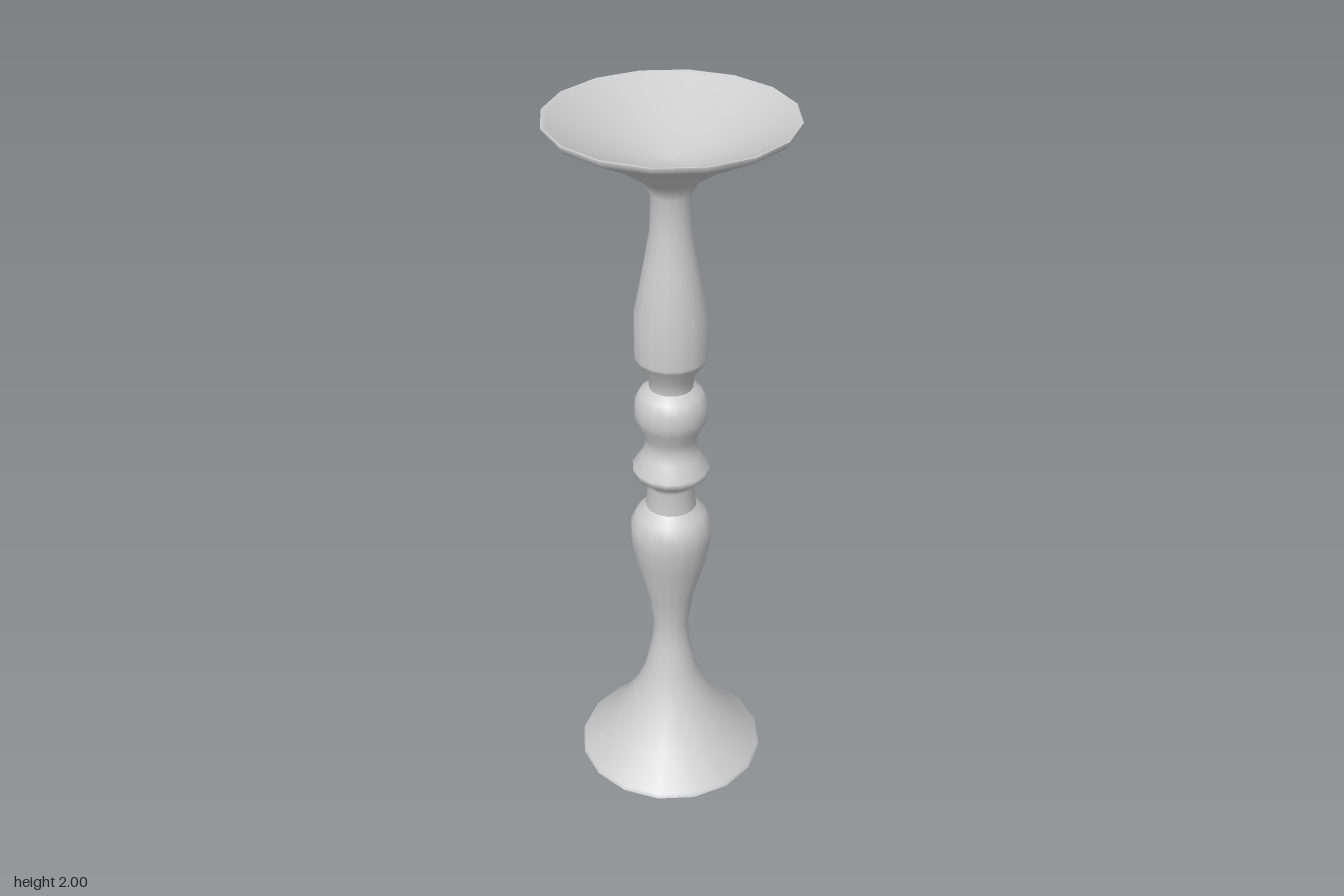
import * as THREE from 'three';

const SIDES = 16;

// Surface of revolution from [radius, height] pairs
function turned(name, profile, material) {
  const points = profile.map(([r, y]) => new THREE.Vector2(r, y));
  const mesh = new THREE.Mesh(new THREE.LatheGeometry(points, SIDES), material);
  mesh.name = name;
  return mesh;
}

export function createModel() {
  const group = new THREE.Group();
  group.name = 'candlestick';
  const grey = new THREE.MeshStandardMaterial({ color: 0xcccccc });
  grey.name = 'light grey';

  // Flat underside
  group.add(turned('underside', [[0, 0], [0.27, 0]], grey));

  // Flared foot rising into the lower vase
  group.add(turned('foot', [
    [0.27, 0], [0.265, 0.012], [0.185, 0.09], [0.112, 0.2], [0.075, 0.29],
    [0.055, 0.39], [0.05, 0.46], [0.065, 0.56], [0.098, 0.68],
    [0.113, 0.76], [0.113, 0.81], [0.097, 0.845], [0.07, 0.872],
  ], grey));

  // Ring and bead in the middle of the stem
  group.add(turned('stemBeads', [
    [0.07, 0.872], [0.065, 0.94], [0.075, 0.96], [0.103, 0.98], [0.106, 1.0],
    [0.078, 1.04], [0.07, 1.07], [0.072, 1.1], [0.094, 1.14], [0.1, 1.17],
    [0.098, 1.205], [0.085, 1.232], [0.06, 1.25],
  ], grey));

  // Upper stem opening into the dish
  group.add(turned('upperStem', [
    [0.06, 1.25], [0.062, 1.285], [0.096, 1.335], [0.098, 1.345], [0.098, 1.465],
    [0.072, 1.6], [0.055, 1.7], [0.053, 1.8], [0.075, 1.84], [0.16, 1.9],
    [0.31, 1.98], [0.318, 1.99], [0.318, 1.998],
  ], grey));

  // Rim and hollow of the dish
  group.add(turned('dish', [
    [0.318, 1.998], [0.314, 2], [0.303, 1.993], [0.22, 1.95],
    [0.13, 1.912], [0.06, 1.89], [0, 1.882],
  ], grey));

  return group;
}
